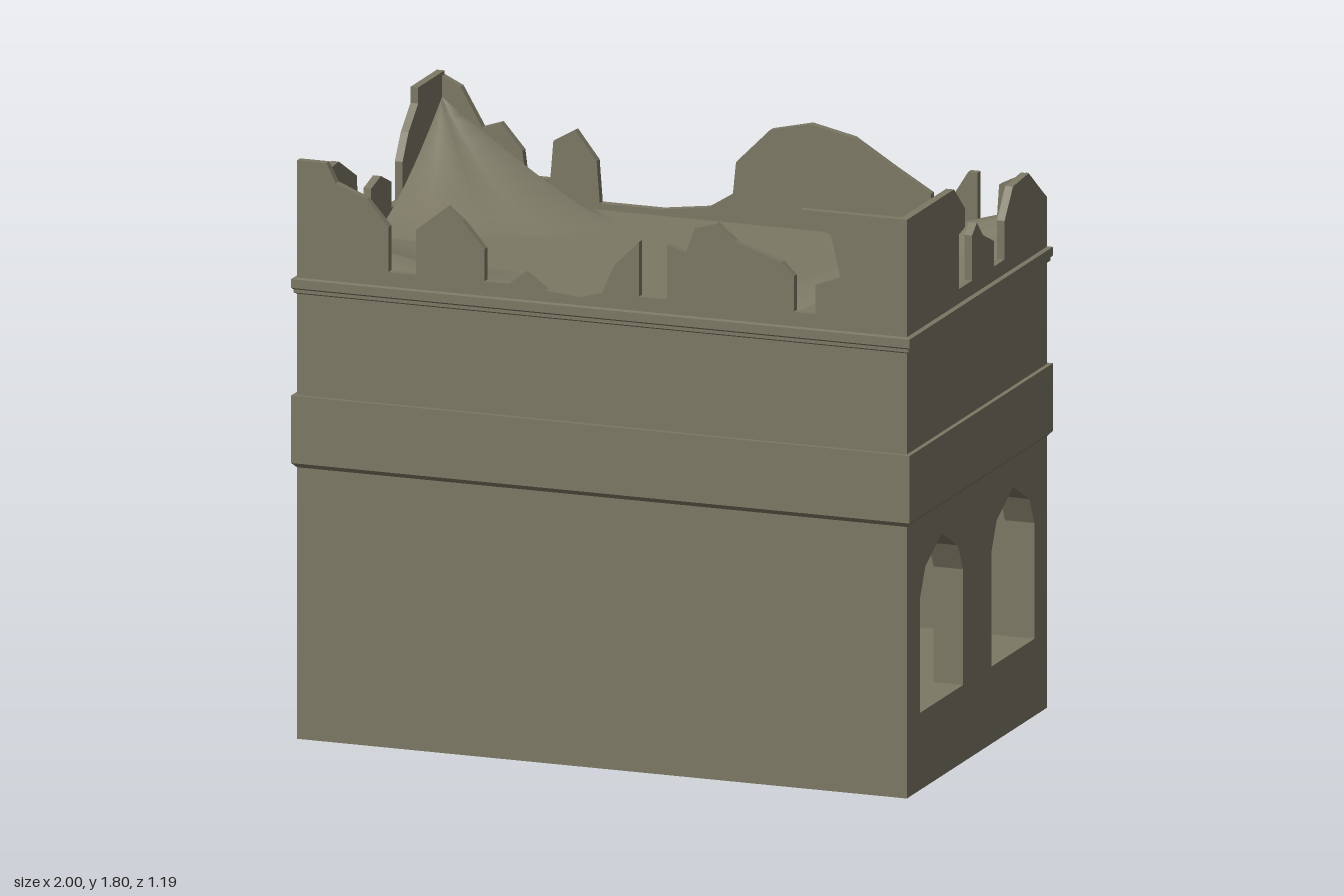
import * as THREE from 'three';

const HX = 0.985, HZ = 0.582, T = 0.025, ROOF = 1.42;

export function createModel() {
  const model = new THREE.Group();
  const stone = new THREE.MeshStandardMaterial({ color: 0x7c7865, side: THREE.DoubleSide });
  stone.name = 'weathered stone';

  function add(name, geometry, parent = model) {
    const mesh = new THREE.Mesh(geometry, stone);
    mesh.name = name;
    parent.add(mesh);
    return mesh;
  }
  function box(name, w, h, d, x, y, z, parent) {
    add(name, new THREE.BoxGeometry(w, h, d), parent).position.set(x, y, z);
  }
  const toShape = pts => new THREE.Shape(pts.map(p => new THREE.Vector2(...p)));

  // Pointed window outlines, in z and y
  const arch = [[-0.178, 0.24], [0.178, 0.24], [0.178, 0.6], [0.135, 0.685], [0, 0.755], [-0.135, 0.685], [-0.178, 0.6]];
  const windows = [0.293, -0.3].map(c => arch.map(([z, y]) => [z + c, y]));

  function slab(outline, depth, holes = []) {
    const shape = toShape(outline);
    for (const h of holes) shape.holes.push(new THREE.Path(h.map(p => new THREE.Vector2(...p))));
    return new THREE.ExtrudeGeometry(shape, { depth, bevelEnabled: false });
  }
  // Closes a broken skyline (left to right) down to the ground
  const wallOutline = (top, half) => [[-half, 0], [half, 0], ...top.slice().reverse()];

  // Long walls with broken tops
  const frontTop = [[-HX, 1.8], [-0.89, 1.8], [-0.86, 1.74], [-0.76, 1.7], [-0.69, 1.62], [-0.69, 1.48], [-0.6, 1.48],
    [-0.6, 1.62], [-0.5, 1.7], [-0.45, 1.66], [-0.38, 1.58], [-0.38, 1.48], [-0.3, 1.48], [-0.25, 1.52], [-0.18, 1.47],
    [-0.07, 1.46], [0, 1.48], [0.04, 1.57], [0.12, 1.65], [0.12, 1.48], [0.21, 1.48], [0.21, 1.65], [0.27, 1.63],
    [0.3, 1.71], [0.37, 1.73], [0.43, 1.68], [0.58, 1.63], [0.62, 1.59], [0.62, 1.48], [0.69, 1.48], [0.69, 1.57],
    [0.77, 1.6], [0.74, 1.73], [0.65, 1.76], [0.64, 1.8], [HX, 1.8]];
  const backTop = [[-HX, 1.8], [-0.9, 1.76], [-0.83, 1.64], [-0.77, 1.66], [-0.7, 1.58], [-0.69, 1.5], [-0.61, 1.5],
    [-0.6, 1.62], [-0.53, 1.66], [-0.46, 1.57], [-0.45, 1.44], [-0.25, 1.44], [-0.1, 1.46], [-0.02, 1.51], [-0.01, 1.61],
    [0.1, 1.72], [0.23, 1.75], [0.37, 1.72], [0.5, 1.64], [0.62, 1.57], [0.62, 1.48], [0.69, 1.48], [0.69, 1.57],
    [0.74, 1.65], [0.77, 1.65], [0.77, 1.47], [0.83, 1.47], [0.84, 1.62], [0.92, 1.66], [HX, 1.59]];
  add('frontWall', slab(wallOutline(frontTop, HX), T)).position.z = HZ - T;
  add('backWall', slab(wallOutline(backTop, HX), T)).position.z = -HZ;

  // Short walls with two windows each, skylines from back to front
  const leftTop = [[-0.58, 1.59], [-0.43, 1.7], [-0.3, 1.69], [-0.23, 1.6], [-0.23, 1.48], [-0.14, 1.48], [-0.14, 1.56],
    [-0.05, 1.6], [0, 1.65], [0.04, 1.62], [0.04, 1.48], [0.15, 1.48], [0.15, 1.65], [0.1, 1.66], [0.1, 1.72],
    [0.19, 1.8], [0.58, 1.8]];
  const rightTop = [[-0.58, 1.8], [-0.36, 1.8], [-0.36, 1.75], [-0.28, 1.68], [-0.23, 1.6], [-0.23, 1.48], [-0.14, 1.48],
    [-0.14, 1.56], [-0.05, 1.6], [0.03, 1.58], [0.04, 1.48], [0.13, 1.48], [0.15, 1.65], [0.3, 1.73], [0.45, 1.72], [0.58, 1.8]];
  for (const [name, top, x] of [['leftWall', leftTop, HX], ['rightWall', rightTop, T - HX]]) {
    const g = slab(wallOutline(top, 0.58), T, windows);
    g.rotateY(-Math.PI / 2);
    add(name, g).position.x = x;
  }

  // Raised bands: rectangles of growing and shrinking size, joined in loops
  function band(name, sections) {
    const pos = [];
    const corner = ([out, y], k) => {
      const [sx, sz] = [[1, 1], [1, -1], [-1, -1], [-1, 1]][k % 4];
      return [sx * (HX + out), y, sz * (HZ + out)];
    };
    for (let i = 0; i < sections.length - 1; i++) {
      for (let k = 0; k < 4; k++) {
        const a = corner(sections[i], k), b = corner(sections[i], k + 1);
        const c = corner(sections[i + 1], k + 1), d = corner(sections[i + 1], k);
        pos.push(...a, ...b, ...c, ...a, ...c, ...d);
      }
    }
    const g = new THREE.BufferGeometry();
    g.setAttribute('position', new THREE.Float32BufferAttribute(pos, 3));
    g.computeVertexNormals();
    add(name, g);
  }
  band('middleBand', [[0, 0.845], [0.014, 0.86], [0.014, 1.07], [0, 1.07]]);
  band('cornice', [[0, 1.385], [0.008, 1.39], [0.008, 1.4], [0.014, 1.405], [0.014, 1.432], [0, 1.435]]);

  // Roof floor
  box('roofFloor', 2 * (HX - T), 0.02, 2 * (HZ - T), 0, ROOF - 0.01, 0);

  // Shallow rooms behind the windows
  for (const s of [1, -1]) {
    const room = new THREE.Group();
    room.name = s > 0 ? 'leftRoom' : 'rightRoom';
    model.add(room);
    const lining = slab([[-0.49, 0.23], [0.49, 0.23], [0.49, 0.81], [-0.49, 0.81]], 0.07, windows);
    lining.rotateY(-Math.PI / 2);
    add('windowLining', lining, room).position.x = s > 0 ? HX - T : 0.07 + T - HX;
    box('roomBack', 0.01, 0.58, 0.98, s * 0.595, 0.52, 0, room);
    for (const y of [0.235, 0.805]) box(y < 0.5 ? 'roomFloor' : 'roomCeiling', 0.3, 0.01, 0.98, s * 0.745, y, 0, room);
    for (const z of [-0.485, 0.485]) box('roomSide', 0.3, 0.58, 0.01, s * 0.745, 0.52, z, room);
  }

  // Drifts of rubble: rings shrinking from an outline into a corner, rising steeply at the corner
  function drift(name, sx, sz, height, outline) {
    const rings = 10, n = outline.length, pos = [], idx = [];
    const cx = sx * (HX - T), cz = sz * (HZ - T);
    for (let r = 0; r <= rings; r++) {
      const t = r / rings;
      outline.forEach(([x, z], i) => {
        const rise = height * Math.pow(1 - t, 1.5) * (1 + 0.35 * t * Math.sin(i * 2.1));
        pos.push(cx + (x - cx) * t, ROOF + 0.002 + rise, cz + (z - cz) * t);
      });
    }
    for (let r = 0; r < rings; r++) {
      for (let i = 0; i < n - 1; i++) {
        const a = r * n + i, b = a + 1, c = a + n, d = c + 1;
        if (sx * sz > 0) idx.push(a, c, b, b, c, d);
        else idx.push(a, b, c, b, d, c);
      }
    }
    // Outlines run from the long wall to the short wall
    const g = new THREE.BufferGeometry();
    g.setAttribute('position', new THREE.Float32BufferAttribute(pos, 3));
    g.setIndex(idx);
    g.computeVertexNormals();
    const normal = g.attributes.normal;
    if (normal.getY(n * 5 + 2) < 0) {
      g.setIndex(idx.slice().reverse());
      g.computeVertexNormals();
    }
    add(name, g);
  }
  drift('backRightDrift', -1, -1, 0.3, [[-0.47, -0.557], [-0.31, -0.39], [-0.47, -0.2], [-0.64, -0.15], [-0.72, -0.05], [-0.8, 0], [-0.96, 0.04]]);
  drift('frontRightDrift', -1, 1, 0.16, [[-0.47, 0.557], [-0.23, 0.39], [-0.38, 0.24], [-0.6, 0.19], [-0.72, 0.1], [-0.8, 0], [-0.96, -0.04]]);
  drift('backLeftDrift', 1, -1, 0.14, [[0.48, -0.557], [0.3, -0.43], [0.38, -0.36], [0.5, -0.26], [0.68, -0.27], [0.75, -0.12], [0.8, 0], [0.96, 0.04]]);
  drift('frontLeftDrift', 1, 1, 0.3, [[0.47, 0.557], [0.23, 0.38], [0.33, 0.27], [0.4, 0.16], [0.65, 0.07], [0.8, 0], [0.96, -0.06]]);

  return model;
}
